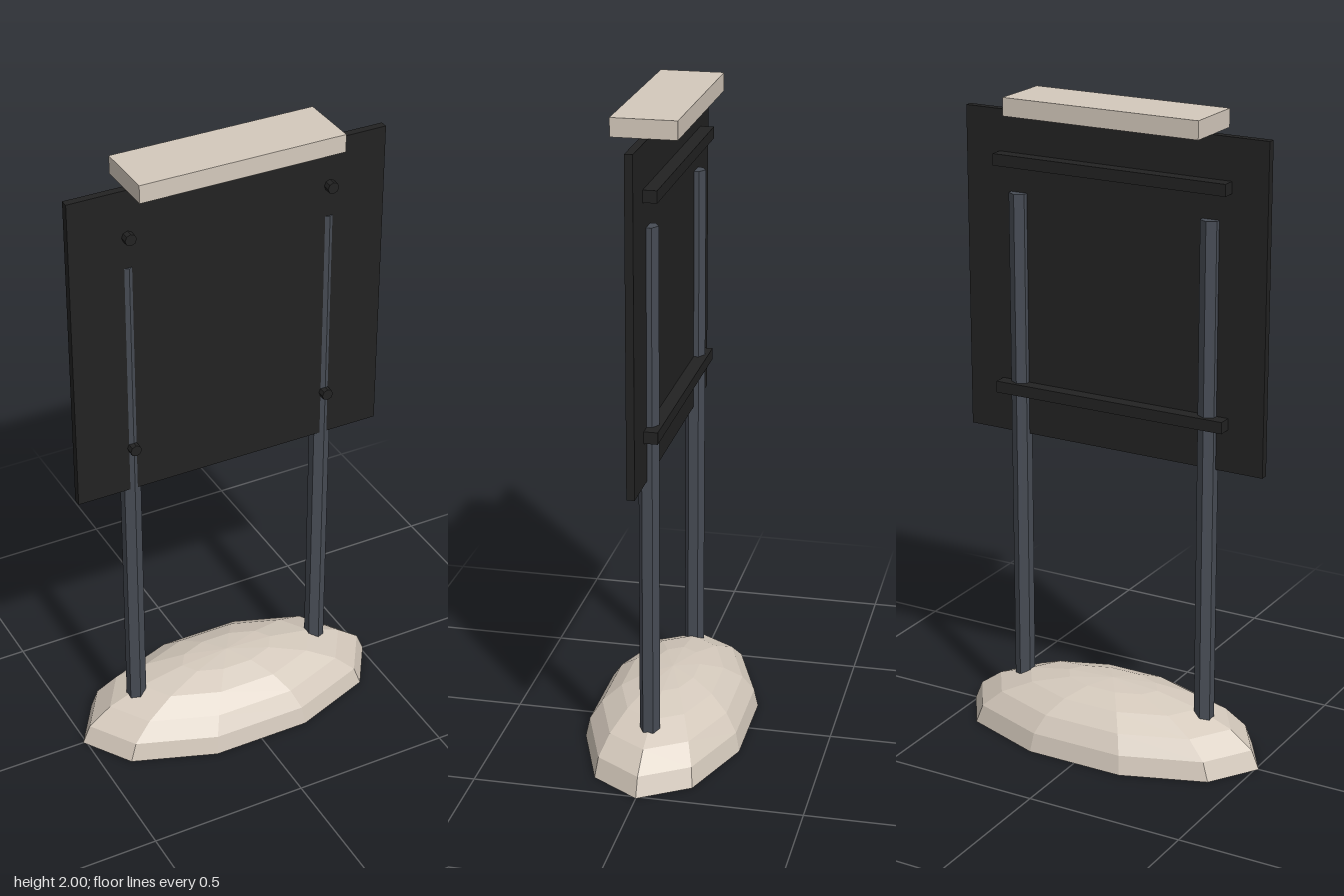
import * as THREE from 'three';

function material(name, color) {
  const m = new THREE.MeshStandardMaterial({ color });
  m.name = name;
  m.flatShading = true;
  return m;
}

export function createModel() {
  const model = new THREE.Group();
  const stone = material('warm beige', 0xd4c9bc);
  const black = material('charcoal black', 0x222222);
  const steel = material('blue grey steel', 0x474c55);

  const add = (name, geometry, mat, x, y, z) => {
    const mesh = new THREE.Mesh(geometry, mat);
    mesh.name = name;
    mesh.position.set(x, y, z);
    model.add(mesh);
    return mesh;
  };

  // Faceted oval dome and its flat underside
  const dome = new THREE.SphereGeometry(1, 10, 5, 0, Math.PI * 2, 0, Math.PI / 2);
  add('baseDome', dome.scale(0.51, 0.19, 0.255), stone, 0, 0, 0);
  const underside = new THREE.CircleGeometry(1, 10).rotateX(Math.PI / 2);
  add('baseUnderside', underside.scale(0.51, 1, 0.255), stone, 0, 0, 0);

  // Board and the cap above it
  add('board', new THREE.BoxGeometry(1, 1, 0.024), black, 0, 1.445, 0.012);
  add('topCap', new THREE.BoxGeometry(0.64, 0.055, 0.193), stone, 0, 1.9725, 0.012);

  // Hexagonal posts, just breaking through the front of the board
  for (const x of [-0.32, 0.32]) {
    add('post', new THREE.CylinderGeometry(0.031, 0.031, 1.6, 6), steel, x, 0.9, 0);
  }

  // Rear rails with a bolt head in front of each post
  for (const y of [1.8, 1.093]) {
    add('rearRail', new THREE.BoxGeometry(0.77, 0.036, 0.042), black, 0, y, -0.02);
    for (const x of [-0.32, 0.32]) {
      const bolt = new THREE.CylinderGeometry(0.018, 0.018, 0.036, 8).rotateX(Math.PI / 2);
      add('boltHead', bolt, black, x, y, 0.029);
    }
  }

  return model;
}
